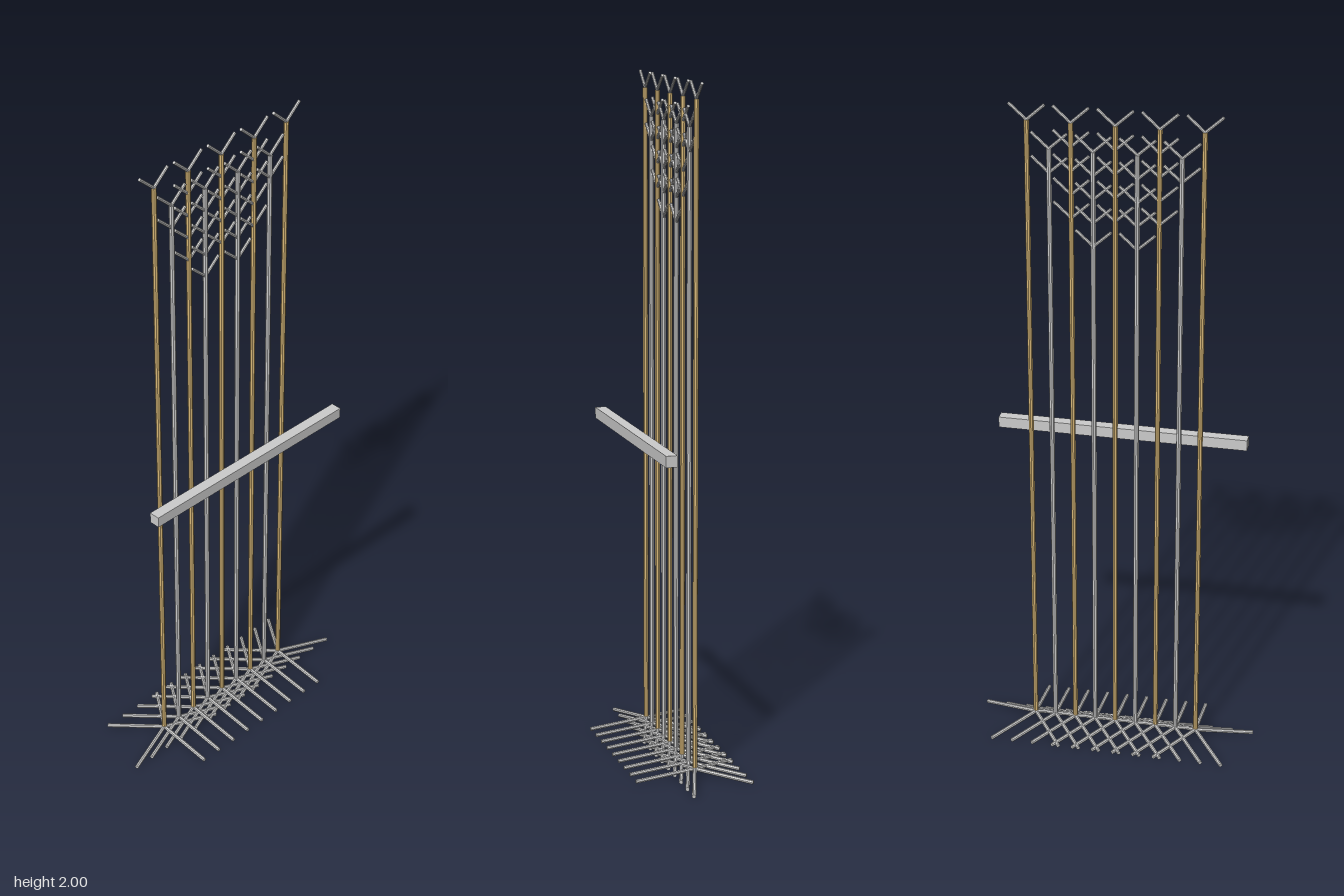
import * as THREE from 'three';

const grey = new THREE.MeshStandardMaterial({ color: 0xcccccc, flatShading: true });
const gold = new THREE.MeshStandardMaterial({ color: 0xd8b878, flatShading: true });
const UP = new THREE.Vector3(0, 1, 0);

// Straight rod between two points
function rod(name, a, b, radius, material) {
  const from = new THREE.Vector3(...a);
  const dir = new THREE.Vector3(...b).sub(from);
  const mesh = new THREE.Mesh(
    new THREE.CylinderGeometry(radius, radius, dir.length(), 8), material);
  mesh.name = name;
  mesh.position.copy(from).addScaledVector(dir, 0.5);
  mesh.quaternion.setFromUnitVectors(UP, dir.normalize());
  return mesh;
}

// One stand: pole, five splayed feet, stacked pairs of raised arms
function stand(index, x, forkCount) {
  const group = new THREE.Group();
  group.name = 'stand' + (index + 1);
  group.position.set(x, 0, -0.017);
  const even = index % 2 === 0;
  const top = even ? 1.95 : 1.87;
  group.add(rod('pole', [0, 0.022, 0], [0, top, 0], 0.0075, even ? gold : grey));

  for (let i = 0; i < 5; i++) {
    const a = (i * Math.PI * 2) / 5;
    group.add(rod('foot', [0, 0.028, 0],
      [Math.sin(a) * 0.177, 0.0065, Math.cos(a) * 0.177], 0.0062, grey));
  }
  for (let i = 0; i < forkCount; i++) {
    const y = top - i * 0.07;
    for (const side of [-1, 1]) {
      group.add(rod('forkArm', [0, y, 0], [side * 0.051, y + 0.046, 0], 0.0048, grey));
    }
  }
  return group;
}

export function createModel() {
  const model = new THREE.Group();
  model.name = 'poleRack';

  // Row of nine stands
  const forkCounts = [1, 2, 5, 5, 5, 5, 5, 2, 1];
  forkCounts.forEach((count, i) => model.add(stand(i, (i - 4) * 0.0625, count)));

  // Horizontal bar in front of the poles
  const bar = new THREE.Mesh(new THREE.BoxGeometry(0.745, 0.033, 0.033), grey);
  bar.name = 'crossBar';
  bar.position.set(0, 0.966, 0.09);
  model.add(bar);

  return model;
}
